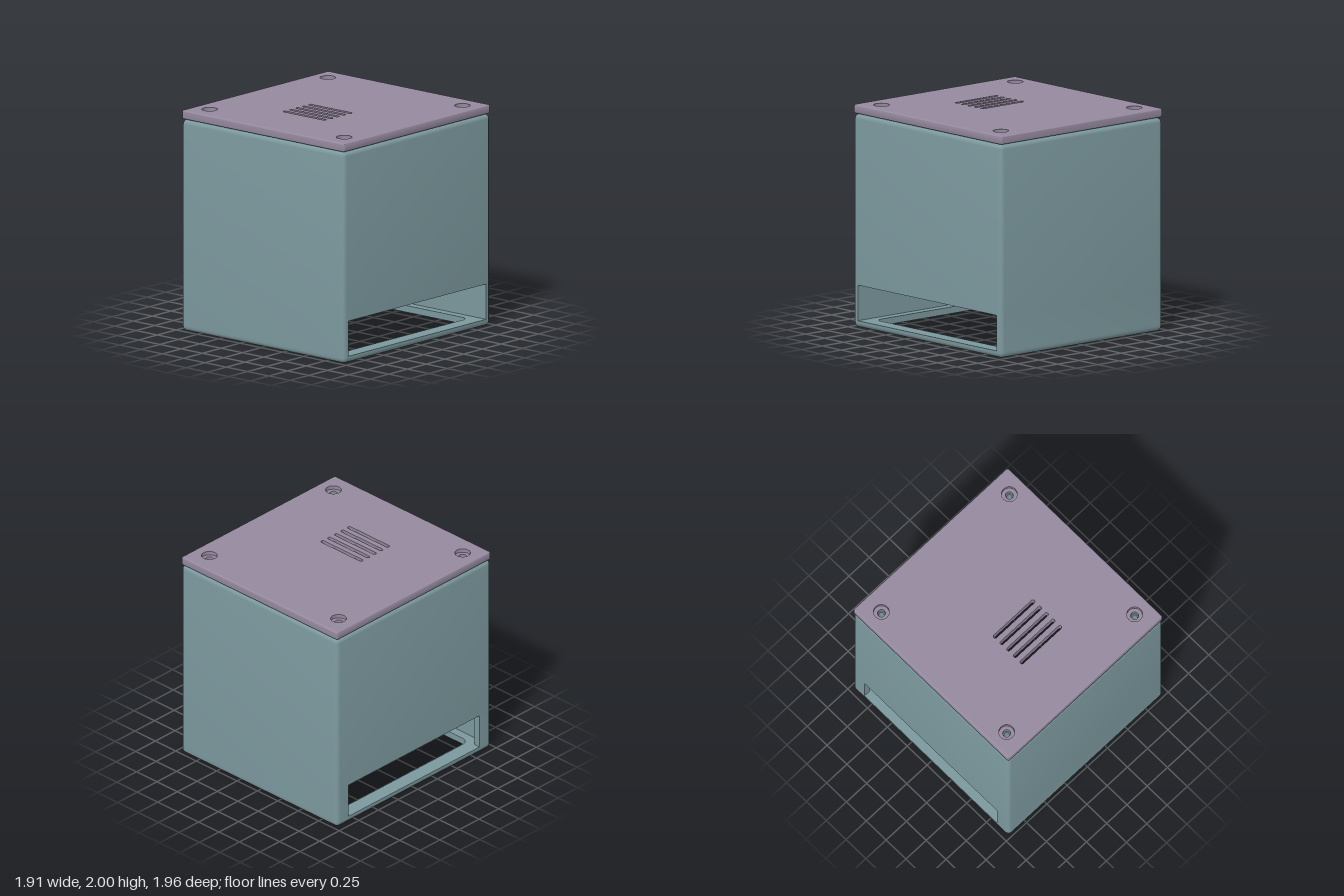
import * as THREE from 'three';
import { toCreasedNormals } from 'three/addons/utils/BufferGeometryUtils.js';

const HX = 0.955, HZ = 0.98;           // half width and half depth
const WALL = 0.06, FILLET = 0.04;
const SLOT_LOW = 0.06, SLOT_HIGH = 0.38, TOP = 1.915;

const crease = (g) => toCreasedNormals(g, 0.6);

// Sweeps a closed profile of [inset, y, cornerRadius] around the rectangular outline
function sweep(profile) {
  const seg = 6, n = 4 * (seg + 1), pos = [], idx = [];
  for (const [inset, y, r] of profile) {
    for (let q = 0; q < 4; q++) {
      const sx = q === 0 || q === 3 ? 1 : -1, sz = q < 2 ? 1 : -1;
      for (let i = 0; i <= seg; i++) {
        const a = (q + i / seg) * Math.PI / 2;
        pos.push(sx * (HX - inset - r) + r * Math.cos(a), y, sz * (HZ - inset - r) + r * Math.sin(a));
      }
    }
  }
  for (let k = 0; k < profile.length; k++) {
    const k2 = (k + 1) % profile.length;
    for (let j = 0; j < n; j++) {
      const j2 = (j + 1) % n;
      const a = k * n + j, b = k * n + j2, c = k2 * n + j, d = k2 * n + j2;
      idx.push(a, c, b, b, c, d);
    }
  }
  const g = new THREE.BufferGeometry();
  g.setAttribute('position', new THREE.Float32BufferAttribute(pos, 3));
  g.setIndex(idx);
  return crease(g);
}

// Quarter round on the outer edge, from angle a0 to a1
function edgeRound(r, cy, a0, a1, corner) {
  const pts = [];
  for (let i = 0; i <= 5; i++) {
    const a = a0 + (a1 - a0) * i / 5, inset = r - r * Math.cos(a);
    pts.push([inset, cy + r * Math.sin(a), Math.max(corner - inset, 0.004)]);
  }
  return pts;
}

// Extrudes a plan shape (x, -z) upward from y0 to y1
function slab(shape, y0, y1) {
  const g = new THREE.ExtrudeGeometry(shape, { depth: y1 - y0, bevelEnabled: false, curveSegments: 10 });
  g.rotateX(-Math.PI / 2);
  g.translate(0, y0, 0);
  return crease(g);
}

export function createModel() {
  const model = new THREE.Group();
  const bodyColour = new THREE.MeshStandardMaterial({ color: 0x7c999e });
  bodyColour.name = 'greyTeal';
  const lidColour = new THREE.MeshStandardMaterial({ color: 0x95899f });
  lidColour.name = 'greyMauve';
  const add = (name, geometry, material) => {
    const m = new THREE.Mesh(geometry, material);
    m.name = name;
    model.add(m);
    return m;
  };

  // Bottom rim with a large rounded opening
  add('bottomRim', sweep([
    ...edgeRound(FILLET, FILLET, -Math.PI / 2, 0, FILLET),
    [0, SLOT_LOW, FILLET], [0.14, SLOT_LOW, 0.07], [0.14, 0, 0.07],
  ]), bodyColour);

  // Front and back walls beside the slots; the slot at +x is wider than that at -x
  for (const s of [1, -1]) {
    const p = new THREE.Shape();
    p.moveTo(HX, s * (HZ - WALL));
    p.lineTo(HX, s * (HZ - FILLET));
    for (let i = 1; i <= 6; i++) {
      const a = i / 6 * Math.PI / 2;
      p.lineTo(HX - FILLET + FILLET * Math.cos(a), s * (HZ - FILLET + FILLET * Math.sin(a)));
    }
    for (let i = 0; i <= 6; i++) {
      const a = (1 + i / 6) * Math.PI / 2;
      p.lineTo(-HX + FILLET + FILLET * Math.cos(a), s * (HZ - FILLET + FILLET * Math.sin(a)));
    }
    p.lineTo(-HX, s * 0.835);
    p.lineTo(-HX + WALL, s * 0.835);
    p.lineTo(-HX + WALL, s * (HZ - WALL));
    add(s > 0 ? 'backLowerWall' : 'frontLowerWall', slab(p, SLOT_LOW, SLOT_HIGH), bodyColour);
  }

  // Upper walls, open at the top under the lid
  add('upperWalls', sweep([
    [0, SLOT_HIGH, FILLET],
    ...edgeRound(FILLET, TOP - FILLET, 0, Math.PI / 2, FILLET),
    [WALL, TOP, 0.004], [WALL, SLOT_HIGH, 0.004],
  ]), bodyColour);

  // Inner rails above the slots
  for (const s of [1, -1]) {
    const rail = add(s > 0 ? 'frontRail' : 'backRail',
      new THREE.BoxGeometry(2 * (HX - WALL), 0.04, 0.085), bodyColour);
    rail.position.set(0, SLOT_HIGH + 0.02, s * (HZ - WALL - 0.0425));
  }

  // Screw bosses with blind pilot holes
  const boss = crease(new THREE.LatheGeometry([
    [0, 1.55], [0.1, 1.55], [0.1, TOP], [0.026, TOP], [0.026, 1.75], [0, 1.75],
  ].map(([x, y]) => new THREE.Vector2(x, y)), 24));
  const screws = [];
  for (const x of [0.79, -0.79]) for (const z of [0.79, -0.79]) {
    screws.push([x, z]);
    add('screwBoss', boss, bodyColour).position.set(x, 0, z);
  }

  // Lid: two layers give the counterbored screw holes, both cut by the vents
  const rim = 0.02;
  const lidShape = (holeRadius) => {
    const x = HX - rim, z = HZ - rim;
    const s = new THREE.Shape();
    s.moveTo(-x, -z).lineTo(x, -z).lineTo(x, z).lineTo(-x, z).closePath();
    for (const [hx, hz] of screws) {
      s.holes.push(new THREE.Path().absarc(hx, -hz, holeRadius, 0, Math.PI * 2, true));
    }
    for (let i = 0; i < 5; i++) {
      const c = -(0.077 + i * 0.0845), r = 0.017, e = 0.25 - r;
      const vent = new THREE.Path();
      vent.absarc(e, c, r, -Math.PI / 2, Math.PI / 2, false);
      vent.absarc(-e, c, r, Math.PI / 2, Math.PI * 1.5, false);
      vent.closePath();
      s.holes.push(vent);
    }
    return s;
  };
  add('lidLower', slab(lidShape(0.035), 1.92, 1.965), lidColour);
  add('lidUpper', slab(lidShape(0.07), 1.965, 2), lidColour);

  // Rounded lid rim
  add('lidRim', sweep([
    ...edgeRound(0.016, 1.936, -Math.PI / 2, 0, 0.02),
    ...edgeRound(0.016, 1.984, 0, Math.PI / 2, 0.02),
    [rim, 2, 0.001], [rim, 1.92, 0.001],
  ]), lidColour);

  return model;
}
